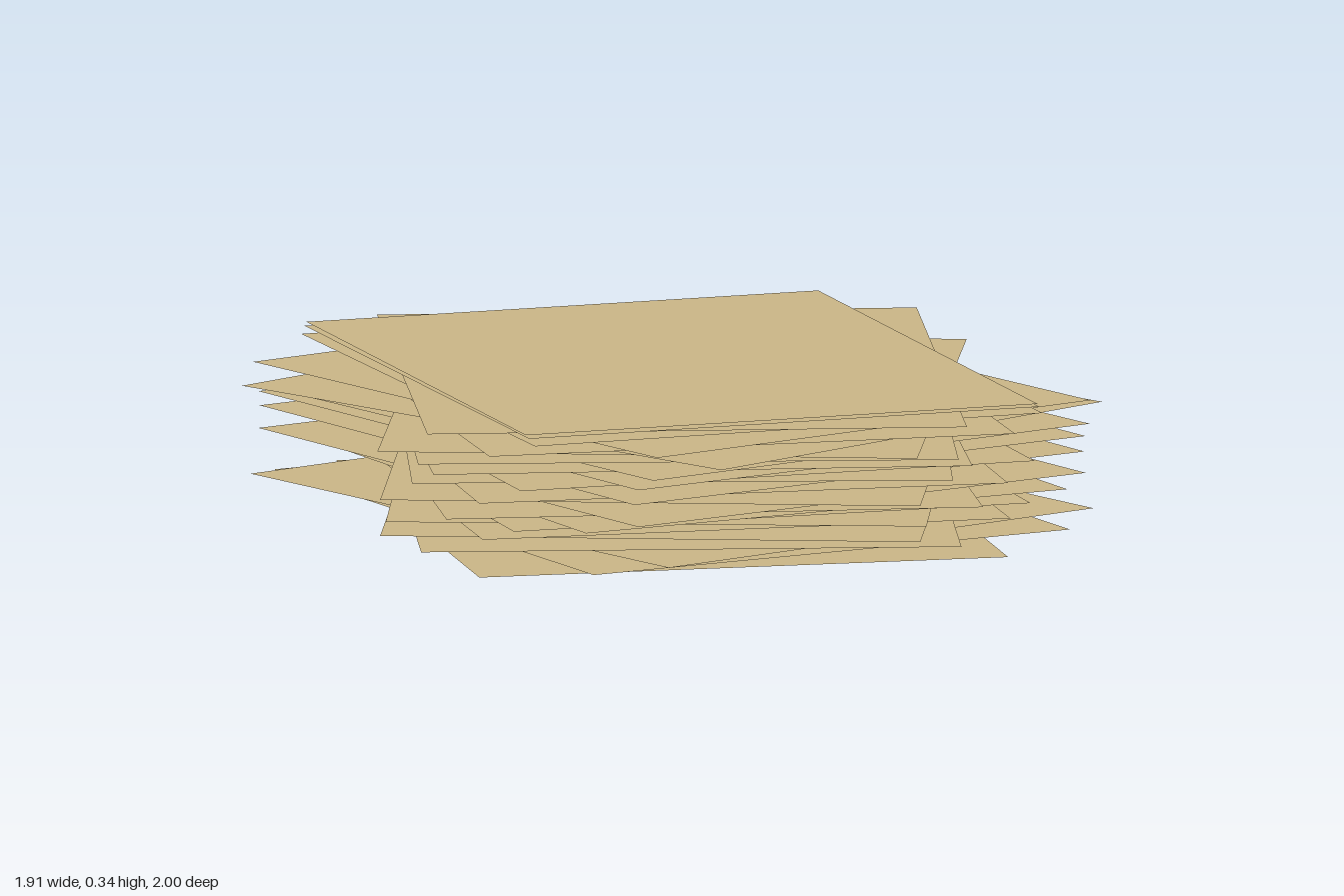
import * as THREE from 'three';

// A loose pile of identical flat sheets, each turned about the vertical axis.
const WIDTH = 1.26;
const DEPTH = 1.57;

// Height and turn (degrees) of every sheet, from bottom to top
const SHEETS = [
  [0, 0], [0.022, 16], [0.042, 26], [0.045, -9], [0.07, -16], [0.09, 0.5],
  [0.105, -15], [0.115, 5], [0.12, 15], [0.13, -5], [0.138, 22], [0.155, -16],
  [0.175, 0], [0.19, 21.5], [0.205, -10.5], [0.212, 6], [0.225, 22], [0.232, -7],
  [0.248, 24], [0.252, -9.5], [0.268, -16.5], [0.272, 33], [0.288, 1.5],
  [0.302, 24.5], [0.32, 8], [0.326, -8], [0.337, 7.2], [0.345, 6.7],
];

export function createModel() {
  const pile = new THREE.Group();
  pile.name = 'sheetPile';

  const paper = new THREE.MeshStandardMaterial({ color: 0xcab586, side: THREE.DoubleSide });
  paper.name = 'tan paper';

  // One sheet lying flat, facing up
  const sheetGeometry = new THREE.PlaneGeometry(WIDTH, DEPTH).rotateX(-Math.PI / 2);

  SHEETS.forEach(([height, turn], i) => {
    const sheet = new THREE.Mesh(sheetGeometry, paper);
    sheet.name = `sheet${i + 1}`;
    sheet.position.y = height;
    sheet.rotation.y = THREE.MathUtils.degToRad(turn);
    pile.add(sheet);
  });

  return pile;
}
